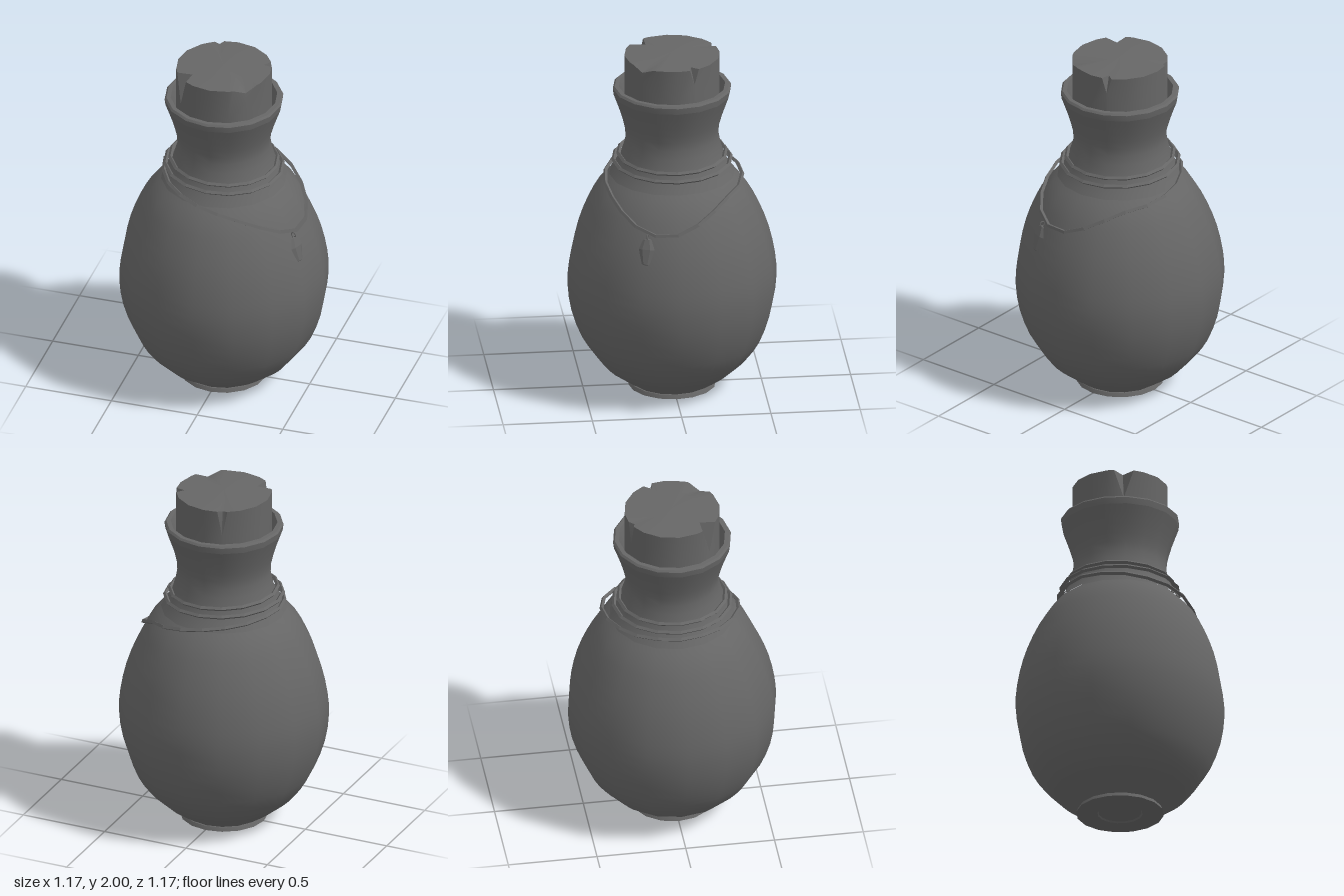
import * as THREE from 'three';
import { toCreasedNormals } from 'three/addons/utils/BufferGeometryUtils.js';

const SIDES = 16;
const grey = new THREE.MeshStandardMaterial({ color: 0x666666 });
const greyFlat = new THREE.MeshStandardMaterial({ color: 0x666666, flatShading: true });

function part(name, geometry, material = grey) {
  const mesh = new THREE.Mesh(geometry, material);
  mesh.name = name;
  return mesh;
}

const toPoints = (profile) => profile.map(([r, y]) => new THREE.Vector2(r, y));

// Turned part with sharp edges, from [radius, height] pairs
function turnedSharp(name, profile) {
  return part(name, toCreasedNormals(new THREE.LatheGeometry(toPoints(profile), SIDES), 0.6));
}

// Turned part with a smoothly curved profile
function turnedSmooth(name, profile, rows) {
  const curve = new THREE.SplineCurve(toPoints(profile));
  return part(name, new THREE.LatheGeometry(curve.getPoints(rows), SIDES));
}

// Closed cord through a list of points
function cord(name, points, segments) {
  const curve = new THREE.CatmullRomCurve3(points, true);
  return part(name, new THREE.TubeGeometry(curve, segments, 0.012, 4, true), greyFlat);
}

// Slightly tilted cord wound round the neck
function neckCord(name, radius, leftY, rightY) {
  const points = [];
  for (let i = 0; i < SIDES; i++) {
    const a = (i / SIDES) * Math.PI * 2;
    const s = Math.sin(a);
    points.push(new THREE.Vector3(radius * s, (leftY + rightY) / 2 + s * (rightY - leftY) / 2, radius * Math.cos(a)));
  }
  return cord(name, points, SIDES);
}

// Stopper with wedge-shaped chips cut from its upper rim
function stopper() {
  const R = 0.267;
  const chips = [
    { at: 313, half: 12, inner: 0.195, top: 1.99, low: 1.82 },
    { at: 112, half: 6, inner: 0.222, top: 1.99, low: 1.9 },
    { at: 203, half: 6, inner: 0.247, top: 1.985, low: 1.84 },
    { at: 45, half: 16, inner: 0.262, top: 1.96, low: 1.9 },
  ];
  const rim = [];
  for (let i = 0; i < SIDES; i++) {
    const deg = (i * 360) / SIDES;
    if (chips.every((c) => Math.abs(deg - c.at) > c.half + 2)) rim.push({ deg, foot: deg, r: R, top: 1.99, low: 1.8 });
  }
  for (const c of chips) {
    for (const k of [-1, 0, 1]) {
      rim.push({ deg: c.at + k * c.half, foot: c.at + k * 0.3, r: k ? R : c.inner, top: k ? 1.99 : c.top, low: c.low });
    }
  }
  rim.sort((a, b) => a.deg - b.deg);

  // Rows from the hidden bottom, up the side and in over the top
  const rows = [
    (p) => [p.foot, R, 1.58],
    (p) => [p.foot, R, p.low],
    (p) => [p.deg, p.r, p.top],
    (p) => [p.deg, p.r * 0.55, 1.995],
    (p) => [p.deg, 0.001, 2],
  ];
  const n = rim.length;
  const position = [];
  const index = [];
  rows.forEach((row, j) => rim.forEach((p, i) => {
    const [deg, r, y] = row(p);
    const a = THREE.MathUtils.degToRad(deg);
    position.push(r * Math.sin(a), y, r * Math.cos(a));
    if (j === 0) return;
    const k = (i + 1) % n;
    const lo = (j - 1) * n;
    const hi = j * n;
    index.push(lo + i, lo + k, hi + k, lo + i, hi + k, hi + i);
  }));
  const g = new THREE.BufferGeometry();
  g.setAttribute('position', new THREE.Float32BufferAttribute(position, 3));
  g.setIndex(index);
  return part('stopper', toCreasedNormals(g, 0.6));
}

// Faceted charm with its small link, resting against the belly
function charm() {
  const group = new THREE.Group();
  group.name = 'charm';
  const profile = [[0.001, -0.078], [0.022, -0.072], [0.046, 0.012], [0.024, 0.068], [0.001, 0.075]];
  const stone = new THREE.LatheGeometry(toPoints(profile), 6, Math.PI / 6);
  stone.scale(1, 1, 0.3);
  group.add(part('charmStone', stone, greyFlat));
  const link = part('charmLink', new THREE.TorusGeometry(0.014, 0.004, 4, 8));
  link.position.y = 0.083;
  link.rotation.y = Math.PI / 2;
  group.add(link);
  group.position.set(0.487, 1.005, 0.195);
  group.rotation.set(-0.3, 1.2, 0, 'YXZ');
  return group;
}

export function createModel() {
  const model = new THREE.Group();
  model.name = 'bottle';

  model.add(turnedSharp('foot', [[0, 0.008], [0.12, 0.008], [0.126, 0], [0.245, 0], [0.236, 0.022], [0.2, 0.024]]));
  model.add(turnedSmooth('belly', [
    [0.225, 0.02], [0.36, 0.115], [0.435, 0.195], [0.505, 0.3], [0.563, 0.46], [0.585, 0.62],
    [0.577, 0.76], [0.543, 0.92], [0.487, 1.07], [0.417, 1.2], [0.34, 1.285],
  ], 20));
  model.add(turnedSmooth('neck', [
    [0.352, 1.278], [0.315, 1.335], [0.285, 1.4], [0.26, 1.515], [0.283, 1.63], [0.327, 1.757],
  ], 12));
  model.add(turnedSharp('lip', [
    [0.327, 1.757], [0.332, 1.793], [0.322, 1.804], [0.298, 1.804], [0.287, 1.77], [0.25, 1.62],
  ]));
  model.add(stopper());

  model.add(neckCord('upperCord', 0.3, 1.412, 1.386));
  model.add(neckCord('lowerCord', 0.328, 1.374, 1.348));

  // Loose cord sagging to the left side
  const sag = [
    [-0.34, 1.335, 0], [-0.31, 1.33, 0.13], [-0.235, 1.318, 0.25], [-0.1, 1.295, 0.345], [0.03, 1.272, 0.382],
    [0.2, 1.222, 0.357], [0.35, 1.155, 0.288], [0.45, 1.095, 0.18], [0.48, 1.088, 0.03], [0.436, 1.15, -0.128],
    [0.33, 1.228, -0.255], [0.2, 1.262, -0.355], [0.04, 1.29, -0.385], [-0.1, 1.305, -0.345],
    [-0.235, 1.32, -0.25], [-0.31, 1.33, -0.13],
  ];
  model.add(cord('hangingCord', sag.map((p) => new THREE.Vector3(...p)), 20));
  model.add(charm());

  return model;
}
